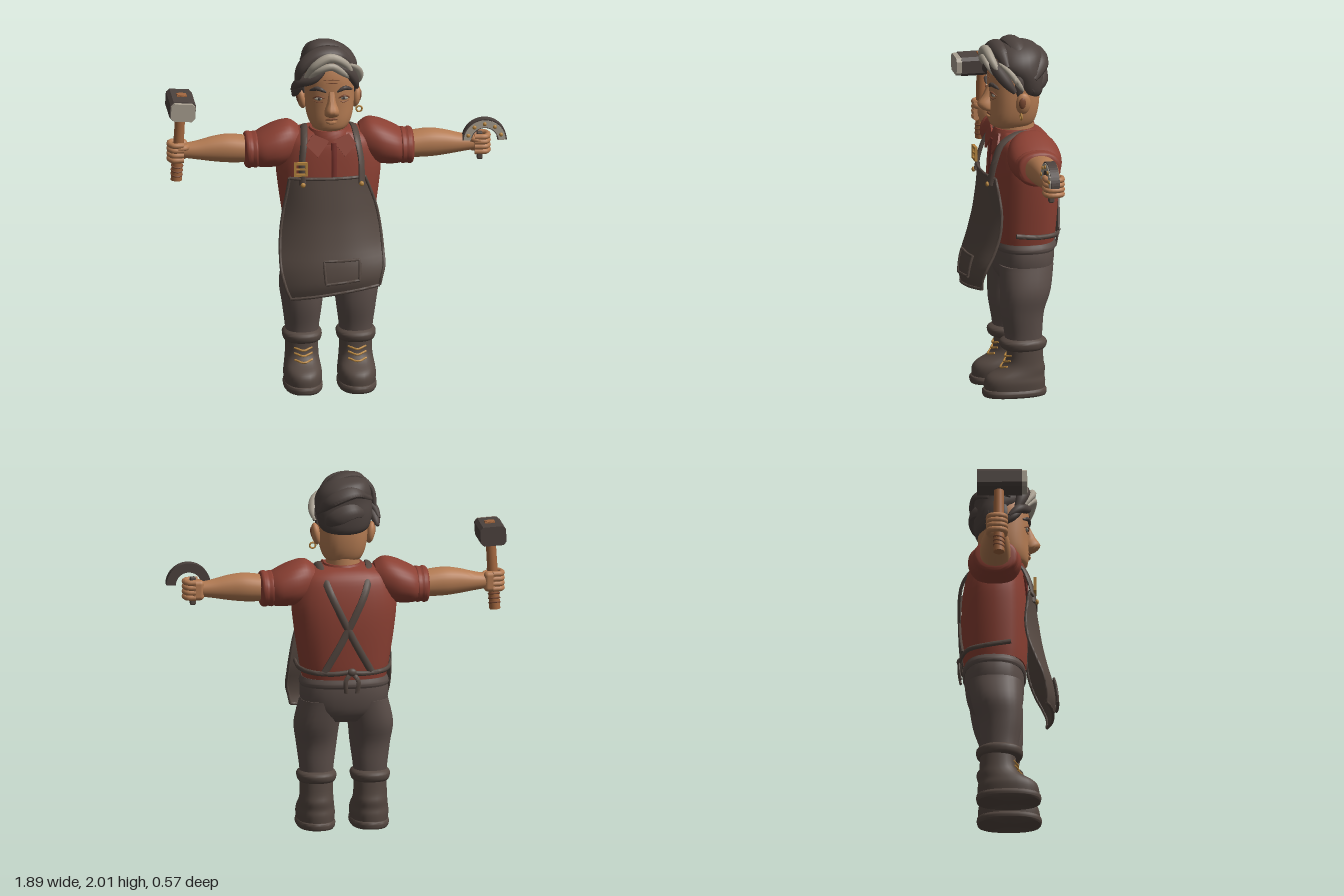
import * as THREE from 'three';
import { toCreasedNormals } from 'three/addons/utils/BufferGeometryUtils.js';
import { RoundedBoxGeometry } from 'three/addons/geometries/RoundedBoxGeometry.js';

const V = (x, y, z) => new THREE.Vector3(x, y, z);
const X = V(1, 0, 0), Y = V(0, 1, 0), Z = V(0, 0, 1);
const paint = (name, color) => Object.assign(new THREE.MeshStandardMaterial({ color }), { name });

// Smoothly interpolates rows of numbers at t = 0..1
const rowAt = (rows, t) => rows[0].map((_, k) =>
  new THREE.SplineCurve(rows.map((r, i) => new THREE.Vector2(i, r[k]))).getPoint(t).y);

// Joins rings of points into a closed, capped surface
function skin(rings) {
  const n = rings[0].length, pos = [], idx = [], last = (rings.length - 1) * n;
  const middle = ring => ring.reduce((a, p) => a.add(p), V(0, 0, 0)).divideScalar(n);
  [...rings.flat(), middle(rings[0]), middle(rings[rings.length - 1])].forEach(p => pos.push(p.x, p.y, p.z));
  for (let j = 0; j < n; j++) {
    const k = (j + 1) % n;
    for (let i = 0; i < last; i += n) idx.push(i + j, i + k, i + n + k, i + j, i + n + k, i + n + j);
    idx.push(last + n, k, j, last + n + 1, last + j, last + k);
  }
  const g = new THREE.BufferGeometry();
  g.setAttribute('position', new THREE.Float32BufferAttribute(pos, 3));
  g.setIndex(idx);
  return toCreasedNormals(g, 0.9);
}

// Loft along axis T; rows are [along, centre1, centre2, radius1, radius2]
function loft(rows, power = 2, T = Y, e1 = Z, e2 = X, seg = 28) {
  const rings = [], steps = (rows.length - 1) * 4;
  const bend = c => Math.sign(c) * Math.abs(c) ** (2 / power);
  for (let i = 0; i <= steps; i++) {
    const [d, c1, c2, r1, r2] = rowAt(rows, i / steps);
    rings.push(Array.from({ length: seg }, (_, j) => {
      const a = j / seg * Math.PI * 2;
      return V(0, 0, 0).addScaledVector(T, d).addScaledVector(e1, c1 + r1 * bend(Math.cos(a)))
        .addScaledVector(e2, c2 + r2 * bend(Math.sin(a)));
    }));
  }
  return skin(rings);
}

// Band swept along points, lying flat around a centre
function sweep(points, width, thick, centre, taper = false) {
  const curve = new THREE.CatmullRomCurve3(points.map(p => V(...p))), steps = points.length * 6, rings = [];
  for (let i = 0; i <= steps; i++) {
    const t = i / steps, P = curve.getPoint(t), T = curve.getTangent(t);
    const B = T.clone().cross(P.clone().sub(centre)).normalize(), N = B.clone().cross(T);
    const f = taper ? Math.sin(Math.PI * (0.05 + 0.9 * t)) ** 0.6 : 1;
    rings.push(Array.from({ length: 10 }, (_, j) => {
      const a = j / 10 * Math.PI * 2;
      return P.clone().addScaledVector(N, Math.cos(a) * thick * f).addScaledVector(B, Math.sin(a) * width * f);
    }));
  }
  return skin(rings);
}

const blob = (rx, ry, rz) => new THREE.SphereGeometry(1, 20, 14).scale(rx, ry, rz);
const plate = (pts, depth, hole) => {
  const s = new THREE.Shape(pts.map(p => new THREE.Vector2(...p)));
  if (hole) s.holes.push(new THREE.Path(hole.map(p => new THREE.Vector2(...p))));
  return new THREE.ExtrudeGeometry(s, { depth, bevelEnabled: false, curveSegments: 24 });
};

export function createModel() {
  const m = {
    skin: paint('skin', 0xb57c53), shade: paint('skin shade', 0x7d4b33),
    shirt: paint('shirt red', 0x8b4033), trim: paint('shirt trim', 0x74302a),
    leather: paint('leather', 0x554841), cloth: paint('trousers', 0x5b4e49),
    dark: paint('hair and iron', 0x4c423e), grey: paint('pale grey', 0xa89f90),
    wood: paint('wood', 0xa3673f), gold: paint('brass', 0xb5843f),
  };
  m.leather.side = THREE.DoubleSide;
  const model = new THREE.Group(), body = new THREE.Group();
  body.name = 'body';
  body.position.x = -0.035;
  model.add(body);
  const add = (name, geo, mat, x = 0, y = 0, z = 0, parent = body) => {
    const mesh = new THREE.Mesh(geo, mat);
    mesh.name = name;
    mesh.position.set(x, y, z);
    parent.add(mesh);
    return mesh;
  };
  const chest = V(0, 1.2, -0.07), skull = V(0, 1.75, -0.04);

  // Shirt
  add('shirt', loft([[0.87, -0.07, 0, 0.17, 0.235], [0.95, -0.072, 0, 0.178, 0.25], [1.15, -0.075, 0, 0.185, 0.28],
    [1.3, -0.075, 0, 0.177, 0.292], [1.42, -0.07, 0, 0.157, 0.265], [1.47, -0.065, 0, 0.125, 0.2], [1.49, -0.05, 0, 0.1, 0.11]], 2.6), m.shirt);
  add('collarBand', loft([[1.43, -0.035, 0, 0.135, 0.13], [1.47, -0.035, 0, 0.128, 0.12], [1.5, -0.035, 0, 0.115, 0.108]]), m.shirt);
  add('placket', sweep([[0.015, 1.44, 0.098], [0.015, 1.36, 0.108], [0.015, 1.22, 0.115]], 0.016, 0.008, chest), m.trim);
  for (const s of [-1, 1]) {
    const pts = [[0.01 * s, 1.45], [0.1 * s, 1.49], [0.14 * s, 1.43], [0.075 * s, 1.36]];
    const flap = add('collarFlap', plate(s < 0 ? pts : pts.reverse(), 0.012).translate(0, -1.42, 0), m.shirt, 0, 1.42, 0.092);
    flap.rotation.x = -0.3;
  }

  // Trousers
  add('hips', loft([[0.62, -0.07, 0, 0.11, 0.12], [0.68, -0.07, 0, 0.15, 0.22], [0.78, -0.075, 0, 0.165, 0.247], [0.89, -0.075, 0, 0.163, 0.23]], 2.5), m.cloth);
  add('waistFrill', loft([[0.82, -0.075, 0, 0.17, 0.244], [0.84, -0.075, 0, 0.178, 0.25], [0.87, -0.075, 0, 0.17, 0.238]], 2.5), m.cloth);

  for (const s of [-1, 1]) {
    const c = 0.15 * s;
    add('trouserLeg', loft([[0.3, -0.045, c, 0.1, 0.09], [0.36, -0.045, c, 0.105, 0.096], [0.48, -0.04, c, 0.12, 0.112],
      [0.6, -0.057, c, 0.14, 0.126], [0.74, -0.07, c * 0.8, 0.15, 0.125]], 2.3), m.cloth);
    // Boots
    add('sole', loft([[0, 0.005, c, 0.175, 0.1], [0.012, 0.006, c, 0.18, 0.108], [0.035, 0.006, c, 0.18, 0.108], [0.042, 0.006, c, 0.172, 0.1]], 2.4), m.leather);
    add('boot', loft([[0.035, 0.004, c, 0.17, 0.102], [0.08, 0.003, c, 0.171, 0.107], [0.115, -0.005, c, 0.158, 0.103],
      [0.155, -0.04, c, 0.126, 0.096], [0.2, -0.053, c, 0.104, 0.092], [0.29, -0.053, c, 0.1, 0.092]], 2.3), m.leather);
    add('bootCuff', loft([[0.262, -0.045, c, 0.1, 0.09], [0.275, -0.045, c, 0.124, 0.105], [0.31, -0.045, c, 0.13, 0.11], [0.33, -0.045, c, 0.1, 0.09]], 2.3), m.leather);
    [[0.235, 0.05], [0.205, 0.056], [0.172, 0.075]].forEach(([y, z]) => add('lace', sweep(
      [[c - 0.05, y, z - 0.018], [c, y - 0.012, z + 0.008], [c + 0.05, y, z - 0.018]], 0.006, 0.006, V(c, y, -0.06)), m.gold));

    // Sleeves, arms and fists
    const limb = rows => loft(rows.map(([d, y, z, ry, rz]) => [d, y, z * s, ry, rz]), 2.2, V(s, 0, 0), Y, V(0, 0, s));
    add('sleeve', limb([[0.17, 1.41, -0.07, 0.09, 0.1], [0.22, 1.41, -0.07, 0.12, 0.128], [0.29, 1.395, -0.07, 0.122, 0.148],
      [0.37, 1.375, -0.07, 0.105, 0.143], [0.42, 1.365, -0.068, 0.085, 0.115]]), m.shirt);
    add('rolledCuff', limb([[0.395, 1.367, -0.065, 0.082, 0.11], [0.405, 1.367, -0.065, 0.098, 0.13], [0.43, 1.367, -0.065, 0.094, 0.124],
      [0.445, 1.367, -0.065, 0.1, 0.125], [0.465, 1.367, -0.065, 0.092, 0.115], [0.472, 1.367, -0.065, 0.07, 0.085]]), m.shirt);
    add('forearm', limb([[0.43, 1.37, -0.065, 0.072, 0.085], [0.55, 1.378, -0.065, 0.079, 0.083], [0.64, 1.378, -0.062, 0.07, 0.072],
      [0.73, 1.374, -0.06, 0.052, 0.058], [0.8, 1.373, -0.06, 0.041, 0.047], [0.84, 1.373, -0.06, 0.036, 0.04]]), m.skin);
    const fist = new THREE.Group();
    fist.name = 'fist';
    fist.position.set(0.84 * s, 1.373, -0.045);
    body.add(fist);
    add('palm', new RoundedBoxGeometry(0.07, 0.115, 0.055, 4, 0.024), m.skin, -0.022 * s, 0, -0.04, fist);
    for (let i = 0; i < 4; i++) {
      const y = 0.043 - i * 0.028;
      add('finger', sweep([[-0.01 * s, y, -0.055], [0.036 * s, y, -0.045], [0.047 * s, y, 0], [0.03 * s, y, 0.035], [-0.03 * s, y, 0.036]],
        0.016, 0.016, V(0, y, -0.005)), m.skin, 0, 0, 0, fist);
    }
    add('thumb', sweep([[-0.06 * s, 0.02, -0.02], [-0.04 * s, 0.03, 0.03], [0.005 * s, 0.022, 0.048]], 0.018, 0.016, V(0, 0, -0.01), true), m.skin, 0, 0, 0, fist);

    // Crossed straps, tie and side hair
    add('strap', sweep([[0.165 * s, 1.215, 0.15], [0.165 * s, 1.34, 0.122], [0.15 * s, 1.44, 0.075], [0.14 * s, 1.492, -0.03], [0.13 * s, 1.46, -0.16],
      [0.095 * s, 1.36, -0.252], [-0.03 * s, 1.1, -0.266], [-0.13 * s, 0.92, -0.25]], 0.021, 0.01, chest), m.leather);
    add('strapStud', blob(0.014, 0.014, 0.01), m.gold, 0.163 * s, 1.22, 0.163);
    add('apronTie', sweep([[0.262 * s, 0.935, 0.02], [0.254 * s, 0.92, -0.1], [0.2 * s, 0.915, -0.215], [0.09 * s, 0.91, -0.258], [-0.01 * s, 0.92, -0.265]], 0.014, 0.009, V(0, 0.92, -0.07)), m.leather);
    add('tieEnd', sweep([[-0.02, 0.92, -0.265], [-0.02 + 0.035 * s, 0.87, -0.272], [-0.02 + 0.03 * s, 0.8, -0.262]], 0.013, 0.007, V(0, 0.87, -0.07)), m.leather);
    add('sideburn', sweep([[0.14 * s, 1.84, -0.02], [0.148 * s, 1.77, -0.025], [0.142 * s, 1.7, -0.025]], 0.026, 0.012, skull, true), m.dark);

    // Ears, eyes and brows
    add('ear', blob(0.026, 0.062, 0.042), m.skin, 0.152 * s, 1.665, -0.045).rotation.z = -0.15 * s;
    add('earHollow', blob(0.012, 0.035, 0.022), m.shade, 0.17 * s, 1.67, -0.038).rotation.z = -0.15 * s;
    add('eye', blob(0.024, 0.011, 0.008), m.grey, 0.07 * s, 1.705, 0.106);
    add('pupil', blob(0.008, 0.009, 0.004), m.dark, 0.068 * s, 1.705, 0.112);
    add('eyelid', sweep([[0.038 * s, 1.706, 0.114], [0.07 * s, 1.72, 0.114], [0.104 * s, 1.704, 0.094]], 0.006, 0.006, skull, true), m.shade);
    add('eyeBag', sweep([[0.045 * s, 1.688, 0.115], [0.07 * s, 1.682, 0.111], [0.098 * s, 1.69, 0.098]], 0.003, 0.003, skull, true), m.shade);
    add('brow', sweep([[0.03 * s, 1.745, 0.122], [0.075 * s, 1.765, 0.115], [0.118 * s, 1.748, 0.085]], 0.012, 0.01, skull, true), m.dark);
  }
  add('tieKnot', blob(0.026, 0.022, 0.016), m.leather, -0.02, 0.92, -0.268);

  // Head
  add('neck', loft([[1.44, -0.035, 0, 0.108, 0.1], [1.52, -0.035, 0, 0.104, 0.093], [1.58, -0.035, 0, 0.1, 0.09]]), m.skin);
  add('head', loft([[1.5, 0, 0, 0.07, 0.06], [1.52, -0.01, 0, 0.115, 0.098], [1.57, -0.018, 0, 0.134, 0.123], [1.65, -0.025, 0, 0.141, 0.136],
    [1.75, -0.025, 0, 0.144, 0.138], [1.83, -0.03, 0, 0.145, 0.136], [1.91, -0.035, 0, 0.12, 0.11], [1.95, -0.035, 0, 0.06, 0.06]], 2.4), m.skin);
  add('nose', loft([[1.598, 0.118, 0, 0.014, 0.02], [1.612, 0.124, 0, 0.036, 0.04], [1.642, 0.13, 0, 0.05, 0.039], [1.685, 0.118, 0, 0.035, 0.024], [1.745, 0.108, 0, 0.016, 0.017]]), m.skin);
  add('mouth', sweep([[-0.05, 1.578, 0.102], [0, 1.586, 0.12], [0.055, 1.58, 0.1]], 0.005, 0.006, skull, true), m.shade);
  add('lowerLip', sweep([[-0.035, 1.566, 0.106], [0, 1.564, 0.117], [0.035, 1.566, 0.106]], 0.011, 0.009, skull, true), m.skin);
  [1.79, 1.81].forEach(y => add('foreheadLine', sweep([[-0.045, y, 0.113], [0, y + 0.004, 0.119], [0.045, y, 0.113]], 0.002, 0.003, skull, true), m.shade));
  add('earring', new THREE.TorusGeometry(0.016, 0.005, 8, 18), m.gold, 0.168, 1.595, -0.03);

  // Hair: back cap and swept locks, each [material, width, points]
  add('hairCap', loft([[1.675, -0.115, 0, 0.05, 0.08], [1.71, -0.1, 0, 0.083, 0.135], [1.79, -0.085, 0, 0.105, 0.157], [1.86, -0.05, 0, 0.138, 0.158],
    [1.92, -0.05, -0.01, 0.135, 0.14], [1.965, -0.05, -0.025, 0.1, 0.1], [1.985, -0.05, -0.03, 0.04, 0.04]], 2.2), m.dark);
  [[m.dark, 0.045, [[-0.19, 1.77, 0.05], [-0.165, 1.88, 0.085], [-0.07, 1.955, 0.08], [0.05, 1.95, 0.065], [0.13, 1.87, 0.04]]],
    [m.dark, 0.05, [[-0.15, 1.87, 0], [-0.09, 1.972, -0.01], [0.03, 1.97, -0.035], [0.135, 1.89, -0.06]]],
    [m.dark, 0.03, [[-0.21, 1.73, 0.01], [-0.18, 1.785, 0.065], [-0.1, 1.82, 0.105], [-0.04, 1.865, 0.115]]],
    [m.dark, 0.025, [[-0.2, 1.69, -0.01], [-0.185, 1.74, 0.035], [-0.15, 1.79, 0.075]]],
    [m.dark, 0.035, [[0.02, 1.9, 0.105], [0.08, 1.87, 0.1], [0.13, 1.8, 0.055], [0.155, 1.73, 0]]],
    [m.dark, 0.045, [[-0.15, 1.87, -0.1], [-0.05, 1.92, -0.165], [0.07, 1.88, -0.175], [0.15, 1.8, -0.11]]],
    [m.dark, 0.05, [[-0.15, 1.78, -0.1], [-0.04, 1.82, -0.182], [0.06, 1.78, -0.18], [0.14, 1.73, -0.1]]],
    [m.grey, 0.026, [[-0.15, 1.81, 0.085], [-0.095, 1.9, 0.13], [-0.01, 1.945, 0.13], [0.075, 1.905, 0.115], [0.125, 1.82, 0.075]]],
    [m.grey, 0.02, [[-0.13, 1.815, 0.1], [-0.07, 1.875, 0.135], [0, 1.895, 0.138], [0.06, 1.855, 0.12], [0.1, 1.82, 0.1]]],
    [m.grey, 0.018, [[0.1, 1.89, 0.08], [0.15, 1.845, 0.03], [0.165, 1.79, -0.01], [0.155, 1.74, -0.045]]],
  ].forEach(([mat, w, pts]) => add('hairLock', sweep(pts, w, 0.026, skull, true), mat));

  // Apron, pocket and hems; rows are [y, right x, left x, middle z, edge z, slant]
  const apronRows = [[1.25, -0.235, 0.185, 0.155, 0.12, 0], [1.12, -0.255, 0.235, 0.175, 0.105, 0], [1, -0.277, 0.265, 0.195, 0.105, 0],
    [0.87, -0.288, 0.278, 0.225, 0.14, 0], [0.76, -0.288, 0.285, 0.255, 0.19, 0.01], [0.67, -0.262, 0.27, 0.265, 0.215, 0.03], [0.61, -0.235, 0.258, 0.25, 0.215, 0.035]];
  const onApron = (u, t, off = 0) => {
    const [y, a, b, zc, ze, slant] = rowAt(apronRows, t);
    return [(a + b) / 2 + u * (b - a) / 2, y + slant * u, zc + (ze - zc) * Math.abs(u) ** 2.4 + off];
  };
  const panel = (name, u0, u1, t0, t1, off, hem) => {
    const geo = new THREE.PlaneGeometry(1, 1, 20, 20), p = geo.attributes.position;
    const at = (u, t) => onApron(u0 + (u1 - u0) * u, t0 + (t1 - t0) * t, off);
    for (let i = 0; i < p.count; i++) p.setXYZ(i, ...at(p.getX(i) + 0.5, 0.5 - p.getY(i)));
    geo.computeVertexNormals();
    add(name, geo, m.leather);
    const steps = [0, 0.12, 0.25, 0.4, 0.55, 0.7, 0.85, 1];
    [t => at(t, 0), t => at(t, 1), t => at(0, t), t => at(1, t)].forEach(f =>
      add(name + 'Hem', sweep(steps.map(f), hem, hem, V(0, 0.9, -0.3)), m.leather));
  };
  panel('apron', -1, 1, 0, 1, 0, 0.009);
  panel('pocket', -0.18, 0.51, 0.6, 0.82, 0.012, 0.008);
  const rect = (w, h) => [[-w, -h], [w, -h], [w, h], [-w, h]];
  add('buckle', plate(rect(0.038, 0.04), 0.016, rect(0.024, 0.026)), m.gold, -0.175, 1.31, 0.145);
  add('bucklePin', new THREE.BoxGeometry(0.07, 0.008, 0.012), m.gold, -0.175, 1.31, 0.155);

  // Hammer
  const hammer = new THREE.Group();
  hammer.name = 'hammer';
  hammer.position.set(-0.875, 1.373, -0.042);
  hammer.rotation.z = -0.06;
  model.add(hammer);
  add('handle', new THREE.CylinderGeometry(0.027, 0.031, 0.5, 16), m.wood, 0, 0.085, 0, hammer);
  add('handleEnd', new THREE.BoxGeometry(0.055, 0.02, 0.05), m.wood, 0, 0.323, 0, hammer);
  [-0.13, -0.105, -0.08].forEach(y => add('gripWrap', new THREE.TorusGeometry(0.03, 0.005, 8, 18).rotateX(Math.PI / 2 + 0.25), m.shade, 0, y, 0, hammer));
  const block = (w, h, c) => [[-w + c, -h], [w - c, -h], [w, -h + c], [w, h - c], [w - c, h], [-w + c, h], [-w, h - c], [-w, -h + c]];
  add('hammerHead', plate(block(0.072, 0.054, 0.018), 0.25), m.dark, -0.002, 0.272, -0.122, hammer);
  add('hammerFace', plate(block(0.068, 0.05, 0.018), 0.03), m.grey, -0.002, 0.272, 0.127, hammer);

  // Horseshoe
  const shoe = new THREE.Group();
  shoe.name = 'horseshoe';
  shoe.position.set(0.83, 1.395, -0.055);
  model.add(shoe);
  const arc = (r, a, b) => Array.from({ length: 25 }, (_, i) => [r * Math.cos(a + (b - a) * i / 24), r * Math.sin(a + (b - a) * i / 24)]);
  const band = (r0, r1) => [...arc(r1, 0.02, 3.1), ...arc(r0, 3.1, 0.02)];
  add('shoeBody', plate(band(0.072, 0.124), 0.05), m.dark, 0, 0, 0, shoe);
  add('shoeFace', plate(band(0.077, 0.117), 0.006), m.grey, 0, 0, 0.048, shoe);
  [0.35, 0.95, 1.57, 2.2, 2.8].forEach(a => add('nail', blob(0.011, 0.011, 0.008), m.gold, 0.097 * Math.cos(a), 0.097 * Math.sin(a), 0.055, shoe));
  add('shoeGrip', new RoundedBoxGeometry(0.032, 0.16, 0.032, 2, 0.008), m.leather, -0.025, -0.035, 0.015, shoe);
  return model;
}
